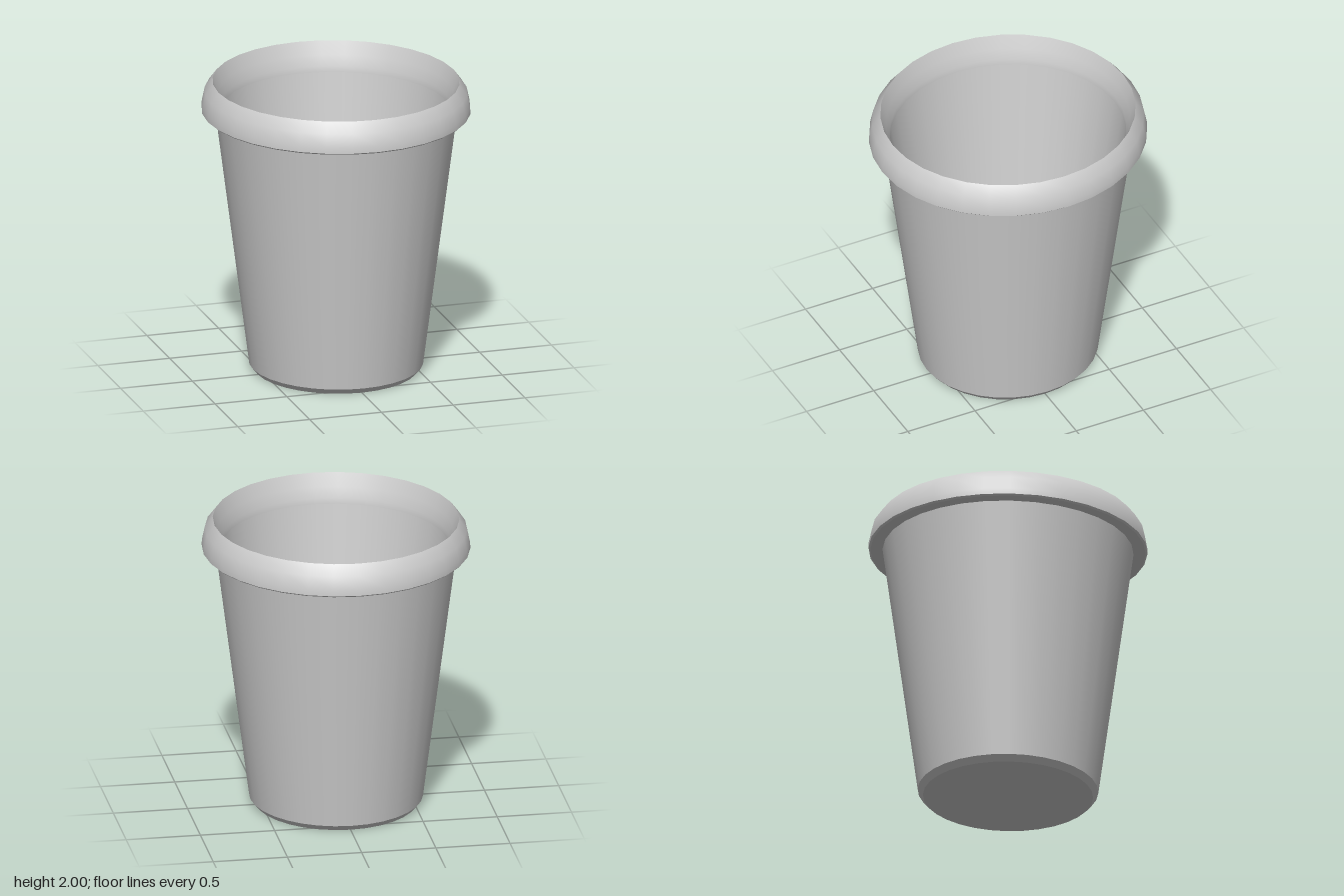
import * as THREE from 'three';

const SIDES = 32;
const OVAL = 0.954; // width relative to depth

export function createModel() {
  const model = new THREE.Group();
  model.name = 'cup';
  const material = new THREE.MeshStandardMaterial({ color: 0xcccccc });

  // One smooth band of the oval wall; separate bands meet in sharp edges.
  function band(name, parent, profile) {
    const points = profile.map(([r, y]) => new THREE.Vector2(r, y));
    const geometry = new THREE.LatheGeometry(points, SIDES);
    geometry.scale(OVAL, 1, 1);
    const mesh = new THREE.Mesh(geometry, material);
    mesh.name = name;
    parent.add(mesh);
  }

  // Tapered body with a chamfered foot
  const body = new THREE.Group();
  body.name = 'body';
  model.add(body);
  band('base', body, [[0, 0], [0.57, 0]]);
  band('footChamfer', body, [[0.57, 0], [0.605, 0.04]]);
  band('outerWall', body, [[0.605, 0.04], [0.84, 1.79]]);
  band('innerWall', body, [[0.79, 1.8], [0.52, 0.05]]);
  band('floor', body, [[0.52, 0.05], [0, 0.05]]);

  // Thick rounded rim, overhanging outside and sloping inward
  const rim = new THREE.Group();
  rim.name = 'rim';
  model.add(rim);
  band('rimUnderside', rim, [[0.84, 1.79], [0.922, 1.79]]);
  band('rimLowerEdge', rim, [[0.922, 1.79], [0.934, 1.8]]);
  band('rimOuter', rim, [[0.934, 1.8], [0.932, 1.84], [0.912, 1.93], [0.857, 2]]);
  band('rimInner', rim, [[0.857, 2], [0.82, 1.91], [0.795, 1.84], [0.79, 1.8]]);

  return model;
}
